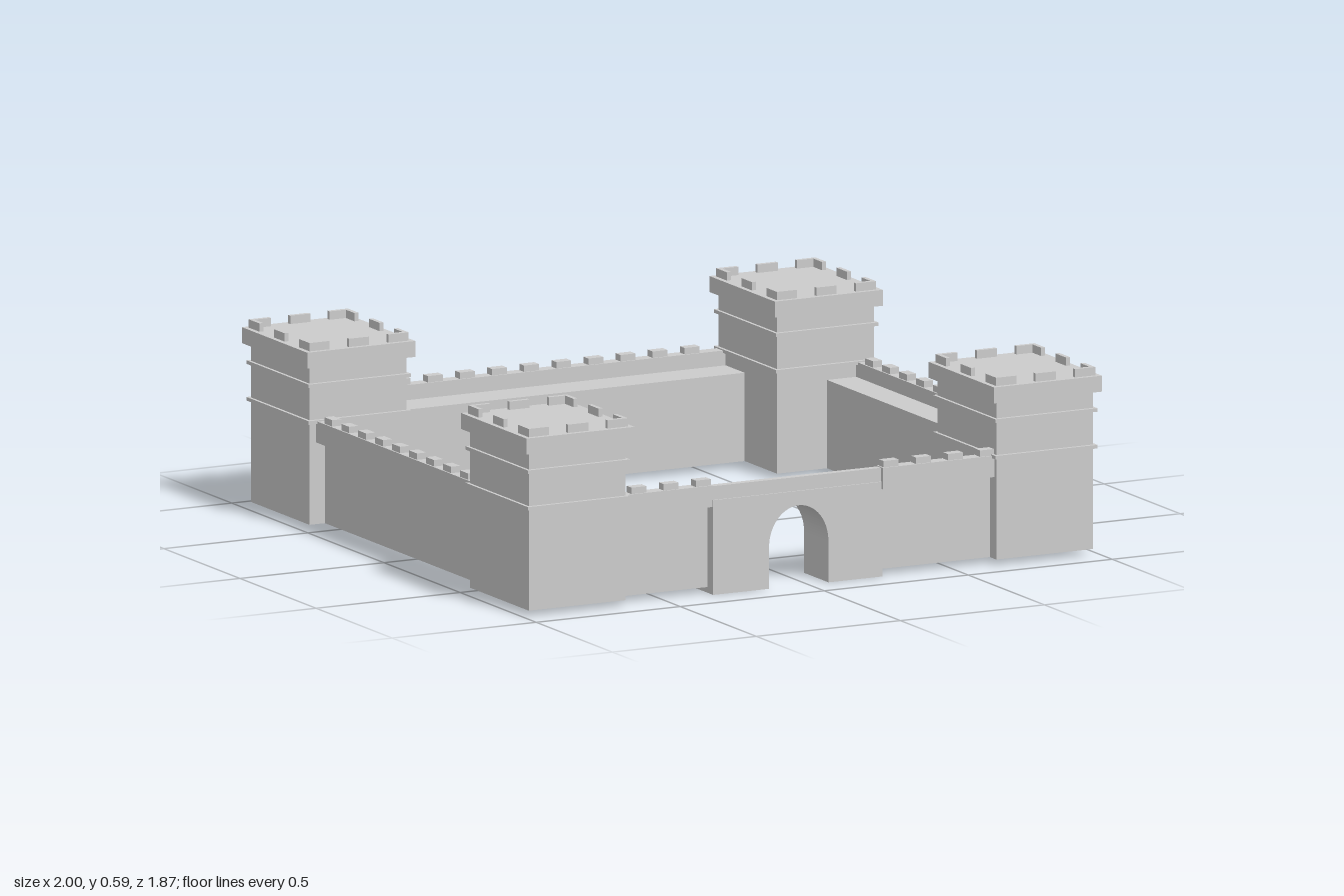
import * as THREE from 'three';

const material = new THREE.MeshStandardMaterial({ color: 0xcccccc, flatShading: true });

// Box given by its two extents on each axis
function box(parent, name, x0, x1, y0, y1, z0, z1) {
  const mesh = new THREE.Mesh(new THREE.BoxGeometry(x1 - x0, y1 - y0, z1 - z0), material);
  mesh.position.set((x0 + x1) / 2, (y0 + y1) / 2, (z0 + z1) / 2);
  mesh.name = name;
  parent.add(mesh);
  return mesh;
}

// Box centred on the y axis
function slab(parent, name, w, d, y0, y1) {
  return box(parent, name, -w / 2, w / 2, y0, y1, -d / 2, d / 2);
}

// Square corner tower with string courses and a crenellated head
function makeTower() {
  const tower = new THREE.Group();
  tower.name = 'cornerTower';
  slab(tower, 'towerBody', 0.336, 0.385, 0.018, 0.52);
  for (const y of [0.335, 0.45]) slab(tower, 'stringCourse', 0.355, 0.41, y, y + 0.011);
  slab(tower, 'towerHead', 0.375, 0.43, 0.514, 0.564);

  // Three merlons per side; the end ones meet at the corners
  const hx = 0.172, hz = 0.2, t = 0.014, len = 0.07;
  for (const s of [-1, 1]) {
    for (const i of [-1, 0, 1]) {
      const cx = i * (hx - len / 2), cz = i * (hz - len / 2);
      const z0 = s > 0 ? hz - t : -hz, x0 = s > 0 ? hx - t : -hx;
      box(tower, 'towerMerlon', cx - len / 2, cx + len / 2, 0.56, 0.59, z0, z0 + t);
      box(tower, 'towerMerlon', x0, x0 + t, 0.56, 0.59, cz - len / 2, cz + len / 2);
    }
  }
  return tower;
}

// Wall running along x with its outer face towards +z:
// body with wall walk, overhanging parapet and merlons
function makeWall(name, x0, x1, inner, outer, merlonStart, merlonCount) {
  const wall = new THREE.Group();
  wall.name = name;
  const thick = 0.042;
  box(wall, 'wallBody', x0, x1, 0.018, 0.295, inner, outer - 0.032);
  box(wall, 'parapet', x0, x1, 0.275, 0.342, outer - thick, outer);
  for (let i = 0; i < merlonCount; i++) {
    const c = merlonStart + i * 0.1115;
    box(wall, 'wallMerlon', c - 0.026, c + 0.026, 0.335, 0.362, outer - 0.037, outer - 0.005);
  }
  return wall;
}

// Gate block with an arched passage
function makeGate() {
  const gate = new THREE.Group();
  gate.name = 'gatehouse';
  const x0 = -0.33, x1 = 0.257, c = -0.033, r = 0.103;
  const shape = new THREE.Shape();
  shape.moveTo(x0, 0);
  shape.lineTo(c - r, 0);
  shape.lineTo(c - r, 0.13);
  shape.absellipse(c, 0.13, r, 0.122, Math.PI, 0, true);
  shape.lineTo(c + r, 0);
  shape.lineTo(x1, 0);
  shape.lineTo(x1, 0.297);
  shape.lineTo(x0, 0.297);
  shape.closePath();
  const geometry = new THREE.ExtrudeGeometry(shape, { depth: 0.16, bevelEnabled: false, curveSegments: 20 });
  const arch = new THREE.Mesh(geometry, material);
  arch.name = 'gateArch';
  arch.position.z = 0.735;
  gate.add(arch);
  box(gate, 'gateParapet', x0 - 0.008, x1 + 0.008, 0.29, 0.34, 0.865, 0.89);
  return gate;
}

export function createModel() {
  const castle = new THREE.Group();
  castle.name = 'castle';

  for (const sx of [-1, 1]) {
    for (const sz of [-1, 1]) {
      const tower = makeTower();
      tower.position.set(sx * 0.8115, 0, sz * 0.72);
      castle.add(tower);
    }
  }

  // Side and back walls, turned so the parapet faces outwards
  const left = makeWall('leftWall', -0.54, 0.54, 0.817, 0.96, -0.44, 9);
  left.rotation.y = Math.PI / 2;
  const right = makeWall('rightWall', -0.54, 0.54, 0.83, 0.958, -0.455, 9);
  right.rotation.y = -Math.PI / 2;
  const back = makeWall('backWall', -0.65, 0.65, 0.74, 0.907, -0.53, 11);
  back.rotation.y = Math.PI;

  // Front wall on both sides of the gate
  castle.add(
    left, right, back,
    makeWall('frontWallRight', -0.65, -0.33, 0.732, 0.89, -0.582, 3),
    makeWall('frontWallLeft', 0.255, 0.65, 0.72, 0.902, 0.287, 4),
    makeGate()
  );
  return castle;
}
